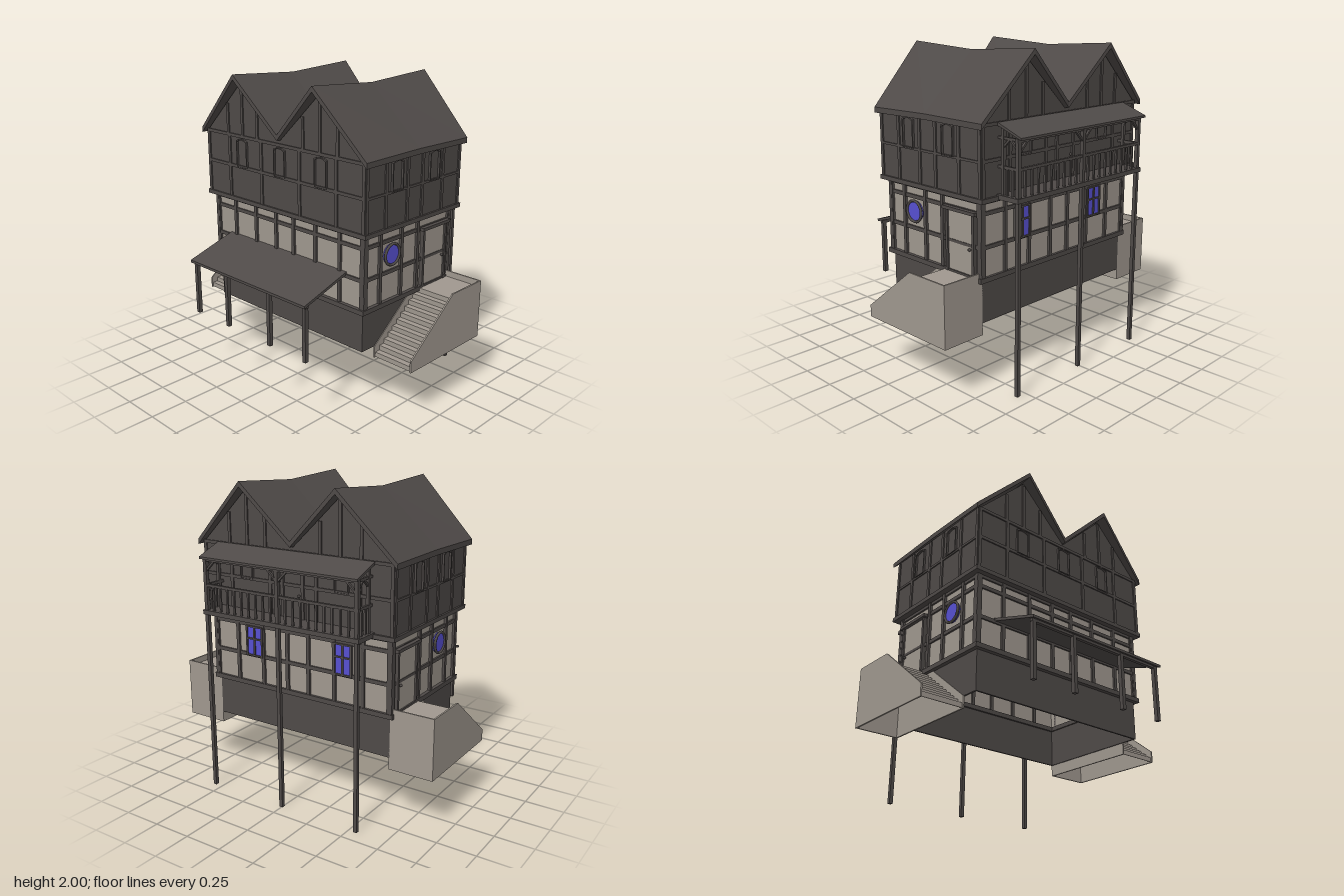
import * as THREE from 'three';

export function createModel() {
  const model = new THREE.Group();
  const material = (name, color) => {
    const m = new THREE.MeshStandardMaterial({ color, side: THREE.DoubleSide });
    m.name = name;
    return m;
  };
  const timber = material('dark timber', 0x4f4a48);
  const plaster = material('pale plaster', 0xa0988f);
  const glass = material('blue glass', 0x5750d2);

  const add = (name, geo, mat) => {
    const m = new THREE.Mesh(geo, mat);
    m.name = name;
    model.add(m);
    return m;
  };
  const box = (name, mat, x0, x1, y0, y1, z0, z1) => {
    const g = new THREE.BoxGeometry(x1 - x0, y1 - y0, z1 - z0);
    g.translate((x0 + x1) / 2, (y0 + y1) / 2, (z0 + z1) / 2);
    return add(name, g, mat);
  };
  const shapeOf = pts => new THREE.Shape(pts.map(p => new THREE.Vector2(...p)));
  const extrude = (shape, depth) =>
    new THREE.ExtrudeGeometry(shape, { depth, bevelEnabled: false, curveSegments: 8 });
  // Prism with a (z, y) section running along x
  const prismX = (name, mat, pts, x0, x1) => {
    const g = extrude(shapeOf(pts), x1 - x0);
    g.rotateY(-Math.PI / 2);
    g.translate(x1, 0, 0);
    return add(name, g, mat);
  };
  // Four walls standing as a hollow ring
  const ring = (name, mat, x, y0, y1, zb, zf, t) => {
    box(name, mat, -x, x, y0, y1, zf - t, zf);
    box(name, mat, -x, x, y0, y1, zb, zb + t);
    for (const s of [-1, 1]) {
      const a = s * x, b = s * (x - t);
      box(name, mat, Math.min(a, b), Math.max(a, b), y0, y1, zb + t, zf - t);
    }
  };

  // Lower base, open underneath, and the plastered storey
  ring('baseWall', timber, 0.653, 0.43, 0.69, -0.462, 0.34, 0.012);
  ring('sillBeam', timber, 0.68, 0.682, 0.712, -0.485, 0.368, 0.05);
  ring('plasterWall', plaster, 0.657, 0.7, 1.17, -0.468, 0.343, 0.012);
  for (const y of [0.89, 1.09, 1.158])
    ring('wallRail', timber, 0.668, y - 0.012, y + 0.012, -0.479, 0.353, 0.032);

  // Storey posts
  const postX = [0.08, 0.27, 0.473, 0.66];
  for (const s of [-1, 1]) {
    for (const px of postX) {
      const x = s * px;
      box('frontPost', timber, x - 0.012, x + 0.012, 0.7, 1.17, 0.32, 0.356);
      box('backPost', timber, x - 0.012, x + 0.012, 0.7, 1.17, -0.482, -0.445);
    }
    for (const z of [0.342, 0.205, 0.01, -0.145, -0.468])
      box('sidePost', timber, s * 0.655 - 0.018, s * 0.655 + 0.018, 0.7, 1.17, z - 0.012, z + 0.012);
  }

  // Side doors and round windows
  for (const s of [-1, 1]) {
    const sx = (name, mat, a, b, ...r) => box(name, mat, Math.min(s * a, s * b), Math.max(s * a, s * b), ...r);
    sx('door', plaster, 0.66, 0.671, 0.71, 1.08, -0.415, -0.2);
    sx('doorPost', timber, 0.645, 0.682, 0.7, 1.09, -0.205, -0.187);
    sx('doorPost', timber, 0.645, 0.682, 0.7, 1.09, -0.427, -0.409);
    sx('doorLintel', timber, 0.645, 0.694, 1.078, 1.098, -0.445, -0.17);
    sx('doorRail', timber, 0.66, 0.674, 0.882, 0.9, -0.415, -0.2);
    const knob = add('doorHandle', new THREE.SphereGeometry(0.01, 8, 6), timber);
    knob.position.set(s * 0.68, 0.868, -0.39);

    const pane = add('roundPane', new THREE.CylinderGeometry(0.064, 0.064, 0.03, 24), glass);
    pane.rotation.z = Math.PI / 2;
    pane.position.set(s * 0.66, 1, 0.105);
    const rim = add('roundFrame', new THREE.TorusGeometry(0.066, 0.009, 6, 24), timber);
    rim.rotation.y = Math.PI / 2;
    rim.position.set(s * 0.676, 1, 0.105);
  }

  // Rear windows
  for (const x of [-0.335, 0.335]) {
    box('rearPane', glass, x - 0.06, x + 0.06, 0.89, 1.08, -0.48, -0.472);
    for (const d of [-0.06, 0, 0.06])
      box('rearMullion', timber, x + d - 0.006, x + d + 0.006, 0.885, 1.085, -0.488, -0.47);
    for (const y of [0.89, 1.0, 1.08])
      box('rearGlazingBar', timber, x - 0.06, x + 0.06, y - 0.005, y + 0.005, -0.488, -0.47);
  }

  // Upper storey: floor, side walls and double gables
  box('upperFloor', timber, -0.708, 0.708, 1.165, 1.192, -0.525, 0.39);
  for (const s of [-1, 1])
    box('upperSideWall', timber, s * 0.687 - 0.008, s * 0.687 + 0.008, 1.18, 1.61, -0.505, 0.375);
  const gable = shapeOf([[-0.695, 1.18], [0.695, 1.18], [0.695, 1.6], [0.342, 1.95],
    [0, 1.625], [-0.342, 1.95], [-0.695, 1.6]]);
  for (const z of [-0.51, 0.362]) add('gableWall', extrude(gable, 0.016).translate(0, 0, z), timber);

  // Upper timber framing
  const faces = [[0.372, 0.386], [-0.518, -0.504]];
  for (const [z0, z1] of faces) {
    for (const y of [1.4, 1.6]) box('gableRail', timber, -0.695, 0.695, y - 0.01, y + 0.01, z0, z1);
    for (const s of [-1, 1]) {
      for (const x of [0.17, 0.473, 0.685])
        box('upperPost', timber, s * x - 0.011, s * x + 0.011, 1.19, 1.6, z0, z1);
      for (const [d, top] of [[-0.14, 1.8], [0, 1.93], [0.14, 1.8]])
        box('gableStud', timber, s * 0.342 + d - 0.01, s * 0.342 + d + 0.01, 1.6, top, z0, z1);
    }
  }
  for (const s of [-1, 1]) {
    const xa = s * 0.694;
    box('upperSideRail', timber, xa - 0.008, xa + 0.008, 1.39, 1.405, -0.51, 0.38);
    for (const z of [0.37, 0.205, 0.01, -0.13, -0.33, -0.5])
      box('upperSidePost', timber, xa - 0.009, xa + 0.009, 1.19, 1.6, z - 0.011, z + 0.011);
  }

  // Arched shutters
  const arch = (w, h) => {
    const s = new THREE.Shape();
    s.moveTo(-w, 0);
    s.lineTo(w, 0);
    s.lineTo(w, h);
    s.quadraticCurveTo(0, h + 0.025, -w, h);
    return s;
  };
  const shutter = (x, z, turn) => {
    const frame = arch(0.05, 0.172);
    frame.holes.push(new THREE.Path(arch(0.042, 0.165).getPoints(8)));
    const m = add('windowFrame', extrude(frame, 0.016), timber);
    m.position.set(x, 1.4, z);
    m.rotation.y = turn;
  };
  for (const x of [-0.35, 0, 0.35]) shutter(x, 0.375, 0);
  for (const x of [-0.35, 0.35]) shutter(x, -0.507, Math.PI);
  for (const s of [-1, 1]) for (const z of [0.11, -0.24]) shutter(s * 0.692, z, s * Math.PI / 2);

  // Balcony door
  for (const x of [-0.075, 0.075]) box('balconyDoorPost', timber, x - 0.01, x + 0.01, 1.19, 1.5, -0.522, -0.505);
  box('balconyDoorLintel', timber, -0.09, 0.09, 1.49, 1.51, -0.524, -0.505);
  add('balconyDoorHandle', new THREE.SphereGeometry(0.009, 8, 6), timber).position.set(-0.05, 1.34, -0.52);

  // Swaybacked double roof, from three cross-sections
  const section = (ze, zr, eave, valley, ridge) => {
    const top = [[-0.727, eave, ze], [-0.345, ridge, zr], [0, valley, ze], [0.342, ridge, zr], [0.722, eave, ze]];
    return [...top, ...top.map(([x, y, z]) => [x, y - 0.034, z]).reverse()];
  };
  const rows = [section(0.405, 0.447, 1.615, 1.665, 1.998),
    section(-0.065, -0.065, 1.622, 1.645, 1.968), section(-0.54, -0.577, 1.615, 1.665, 1.998)];
  const verts = [];
  const quad = (a, b, c, d) => verts.push(...a, ...b, ...c, ...a, ...c, ...d);
  for (let r = 0; r < 2; r++)
    for (let i = 0; i < 10; i++) {
      const j = (i + 1) % 10;
      quad(rows[r][i], rows[r][j], rows[r + 1][j], rows[r + 1][i]);
    }
  for (let i = 0; i < 4; i++) {
    quad(rows[0][i], rows[0][9 - i], rows[0][8 - i], rows[0][i + 1]);
    quad(rows[2][i + 1], rows[2][8 - i], rows[2][9 - i], rows[2][i]);
  }
  const roof = new THREE.BufferGeometry();
  roof.setAttribute('position', new THREE.Float32BufferAttribute(verts, 3));
  roof.computeVertexNormals();
  add('mainRoof', roof, timber);

  // Front porch
  prismX('porchRoof', timber, [[0.343, 0.895], [0.693, 0.785], [0.693, 0.802], [0.343, 0.914]], -0.536, 0.524);
  box('porchBeam', timber, -0.525, 0.515, 0.776, 0.795, 0.65, 0.672);
  for (const x of [-0.51, -0.203, 0.19, 0.497])
    box('porchPost', timber, x - 0.013, x + 0.013, 0.43, 0.79, 0.648, 0.674);

  // Rear balcony
  box('balconyDeck', timber, -0.57, 0.58, 1.172, 1.2, -0.677, -0.5);
  prismX('balconyRoof', timber, [[-0.51, 1.592], [-0.51, 1.61], [-0.695, 1.54], [-0.695, 1.526]], -0.57, 0.577);
  box('balconyTopBeam', timber, -0.56, 0.572, 1.51, 1.532, -0.668, -0.646);
  box('balconyRail', timber, -0.56, 0.57, 1.35, 1.367, -0.667, -0.647);
  for (const x of [-0.547, 0.005, 0.558]) {
    box('balconyPost', timber, x - 0.012, x + 0.012, 0, 1.532, -0.67, -0.646);
    for (const s of [-1, 1]) {
      if (Math.abs(x + s * 0.09) > 0.56) continue;
      const brace = box('balconyBrace', timber, -0.006, 0.006, -0.05, 0.05, -0.008, 0.008);
      brace.position.set(x + s * 0.035, 1.48, -0.657);
      brace.rotation.z = -s * Math.PI / 4;
    }
  }
  for (const x of [-0.547, 0.558]) {
    box('balconyWallPost', timber, x - 0.01, x + 0.01, 1.19, 1.575, -0.555, -0.535);
    box('balconySideRail', timber, x - 0.008, x + 0.008, 1.35, 1.367, -0.657, -0.51);
    box('balconySideBeam', timber, x - 0.008, x + 0.008, 1.515, 1.53, -0.657, -0.51);
    for (const z of [-0.575, -0.615]) box('balconySideBaluster', timber, x - 0.006, x + 0.006, 1.19, 1.36, z - 0.006, z + 0.006);
    for (const [z, s] of [[-0.625, 1], [-0.57, -1]]) {
      const brace = box('balconySideBrace', timber, -0.007, 0.007, -0.04, 0.04, -0.006, 0.006);
      brace.position.set(x, 1.495, z);
      brace.rotation.x = s * Math.PI / 4;
    }
  }
  for (let i = 1; i < 20; i++) {
    const x = -0.547 + i * 0.05525;
    box('baluster', timber, x - 0.006, x + 0.006, 1.19, 1.36, -0.663, -0.651);
  }

  // Side stairs: parapets, end wall, landing and steps, hollow below
  const parapet = [[0.23, 0.355], [0.23, 0.43], [-0.16, 0.74], [-0.462, 0.74], [-0.462, 0.355]];
  for (const s of [-1, 1]) {
    for (const x of [0.65, 0.932]) {
      const xc = s * (x + 0.003);
      prismX('stairParapet', plaster, parapet, xc - 0.005, xc + 0.005);
    }
    const x0 = s > 0 ? 0.65 : -0.94, x1 = x0 + 0.29;
    box('stairEndWall', plaster, x0, x1, 0.355, 0.74, -0.462, -0.452);
    box('stairLanding', plaster, x0, x1, 0.688, 0.7, -0.455, -0.17);
    for (let i = 0; i < 10; i++) {
      const y = 0.39 + i * 0.031, z = 0.222 - i * 0.0392;
      box('stairTread', plaster, x0, x1, y - 0.006, y, z - 0.0392, z);
      box('stairRiser', plaster, x0, x1, y - 0.031, y, z - 0.005, z);
    }
    box('stairTopRiser', plaster, x0, x1, 0.665, 0.7, -0.175, -0.17);
  }
  return model;
}
